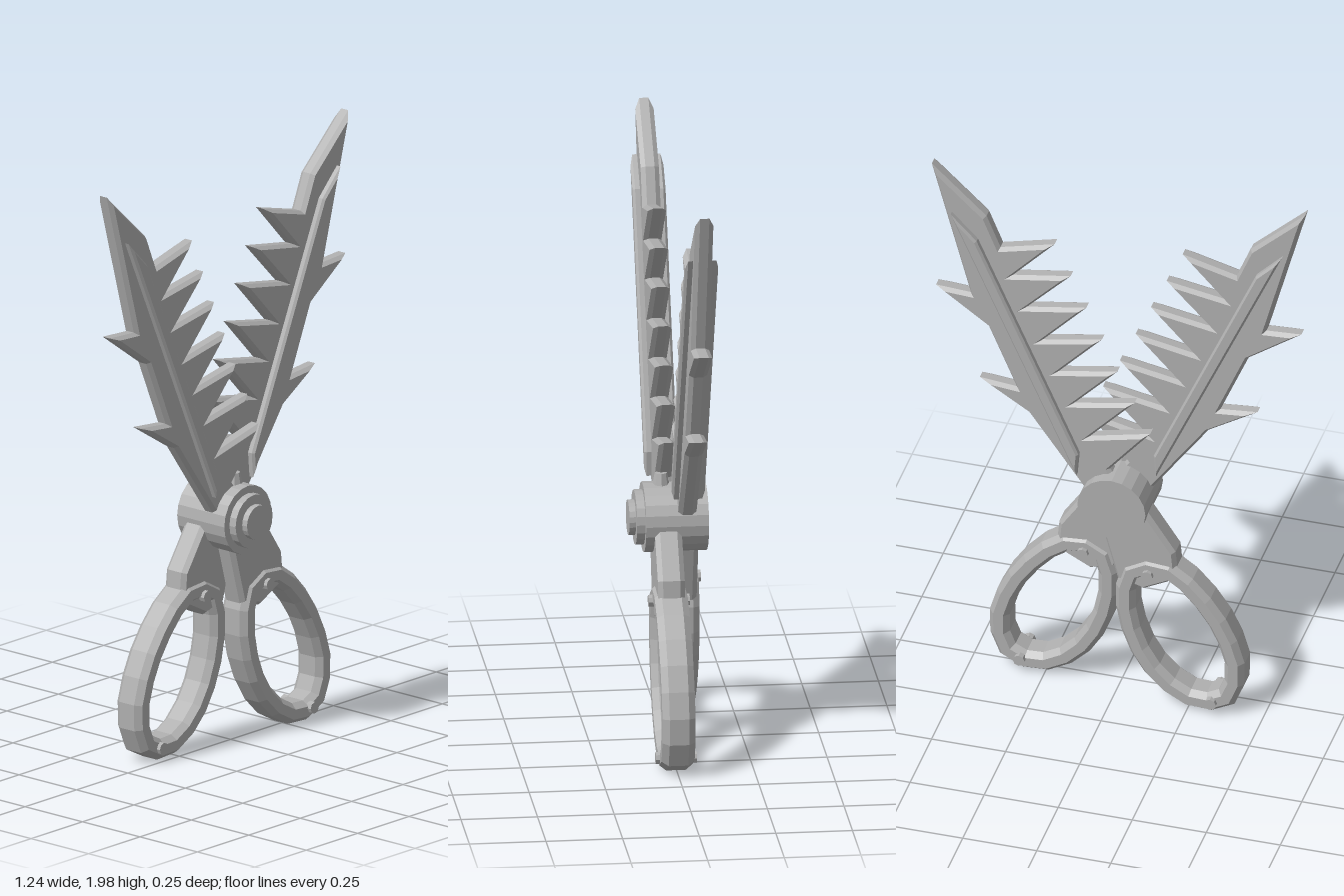
import * as THREE from 'three';

const metal = new THREE.MeshStandardMaterial({ color: 0xb0b0b0, flatShading: true });

// Half outlines as [x, y]; the other half is the mirror in x.
const BLADE = [
  [-0.622, 1.998], [-0.437, 1.825], [-0.39, 1.71], [-0.207, 1.758],
  [-0.347, 1.608], [-0.153, 1.641], [-0.3, 1.49], [-0.1, 1.525],
  [-0.246, 1.37], [-0.048, 1.408], [-0.193, 1.254], [0.005, 1.291],
  [-0.14, 1.138], [0.062, 1.176], [-0.087, 1.016], [0.116, 1.064],
  [-0.02, 0.9], [0.08, 0.76], [0, 0.69], [-0.1, 0.8],
  [-0.295, 1.074], [-0.46, 1.177], [-0.335, 1.165], [-0.43, 1.39],
  [-0.608, 1.517], [-0.49, 1.51],
];
const RIB = [[-0.55, 1.83], [-0.462, 1.74], [-0.118, 0.955], [-0.125, 0.872]];
const NECK = [
  [-0.09, 0.78], [-0.05, 0.7], [0.01, 0.48], [0.1, 0.455], [0.215, 0.515],
  [0.205, 0.62], [0.105, 0.77], [0.04, 0.83],
];
const RING_PATH = [
  [0.03, 0.54], [0.13, 0.587], [0.21, 0.567], [0.325, 0.46], [0.405, 0.33],
  [0.442, 0.19], [0.405, 0.055], [0.29, 0.01], [0.18, 0.05], [0.085, 0.145],
  [0.02, 0.29], [0.003, 0.43],
];
const RING = new THREE.CatmullRomCurve3(
  RING_PATH.map(([x, y]) => new THREE.Vector3(x, y, 0)), true,
).getSpacedPoints(18).slice(0, -1).map((p) => [p.x, p.y]);

// Mirrored points in the wanted turning direction.
function toPoints(list, side, clockwise) {
  const pts = list.map(([x, y]) => new THREE.Vector2(x * side, y));
  return THREE.ShapeUtils.isClockWise(pts) === clockwise ? pts : pts.reverse();
}

// Moves a closed outline to its left by d, with full mitres at the corners.
function inset(pts, d) {
  const n = pts.length;
  return pts.map((p, i) => {
    const a = p.clone().sub(pts[(i + n - 1) % n]).normalize();
    const b = pts[(i + 1) % n].clone().sub(p).normalize();
    const normals = new THREE.Vector2(-a.y - b.y, a.x + b.x);
    return p.clone().addScaledVector(normals, d / (1 + a.dot(b)));
  });
}

// Plate centred on z = 0 with sharp chamfers; bandWidth cuts a parallel hole.
function plate(name, outline, side, half, bevelDepth, bevelSize, bandWidth = 0) {
  const contours = [toPoints(outline, side, false)];
  if (bandWidth) contours.push(inset(contours[0], bandWidth).reverse());
  const levels = [
    [-half, bevelSize], [bevelDepth - half, 0], [half - bevelDepth, 0], [half, bevelSize],
  ].map(([z, d]) => ({ z, rings: contours.map((c) => inset(c, d)) }));
  const positions = [];
  const put = (p, z) => positions.push(p.x, p.y, z);

  // Edge walls and chamfers
  for (let l = 0; l < 3; l++) {
    const lo = levels[l], hi = levels[l + 1];
    contours.forEach((c, k) => c.forEach((_, i) => {
      const j = (i + 1) % c.length;
      const a = lo.rings[k], b = hi.rings[k];
      put(a[i], lo.z); put(a[j], lo.z); put(b[j], hi.z);
      put(a[i], lo.z); put(b[j], hi.z); put(b[i], hi.z);
    }));
  }
  // Front and back faces
  const [outer, ...holes] = levels[3].rings;
  const flat = [outer, ...holes].flat();
  for (const [a, b, c] of THREE.ShapeUtils.triangulateShape(outer, holes)) {
    put(flat[a], half); put(flat[b], half); put(flat[c], half);
    put(flat[a], -half); put(flat[c], -half); put(flat[b], -half);
  }
  const geo = new THREE.BufferGeometry();
  geo.setAttribute('position', new THREE.Float32BufferAttribute(positions, 3));
  geo.computeVertexNormals();
  const mesh = new THREE.Mesh(geo, metal);
  mesh.name = name;
  return mesh;
}

// Cylinder along z between two depths.
function disc(name, radius, z0, z1, x, y, sides) {
  const geo = new THREE.CylinderGeometry(radius, radius, z1 - z0, sides);
  geo.rotateX(Math.PI / 2);
  const mesh = new THREE.Mesh(geo, metal);
  mesh.position.set(x, y, (z0 + z1) / 2);
  mesh.name = name;
  return mesh;
}

// One blade with its neck, finger ring and rivets.
function half(name, side, z) {
  const group = new THREE.Group();
  group.name = name;
  group.add(
    plate('toothedBlade', BLADE, side, 0.03, 0.015, 0.01),
    plate('bladeRib', RIB, side, 0.054, 0.008, 0.007),
    plate('neck', NECK, side, 0.044, 0.016, 0.012),
    plate('fingerRing', RING, side, 0.054, 0.022, 0.017, 0.067),
  );
  for (const [x, y] of [[0.118, 0.527], [0.332, 0.06]]) {
    group.add(disc('ringRivet', 0.02, -0.067, 0.067, x * side, y, 8));
  }
  group.position.z = z;
  return group;
}

export function createModel() {
  const model = new THREE.Group();
  model.name = 'shears';
  model.add(half('frontHalf', 1, 0.002), half('backHalf', -1, -0.06));

  // Stepped pivot
  const steps = [[0.115, -0.13, 0.075], [0.09, 0.07, 0.102], [0.058, 0.1, 0.123]];
  for (const [r, z0, z1] of steps) model.add(disc('pivotStep', r, z0, z1, 0, 0.775, 20));

  // Small stud on top of the pivot
  const stud = new THREE.Mesh(new THREE.CylinderGeometry(0.02, 0.032, 0.06, 8), metal);
  stud.position.set(0, 0.895, 0.015);
  stud.name = 'pivotStud';
  model.add(stud);
  return model;
}
